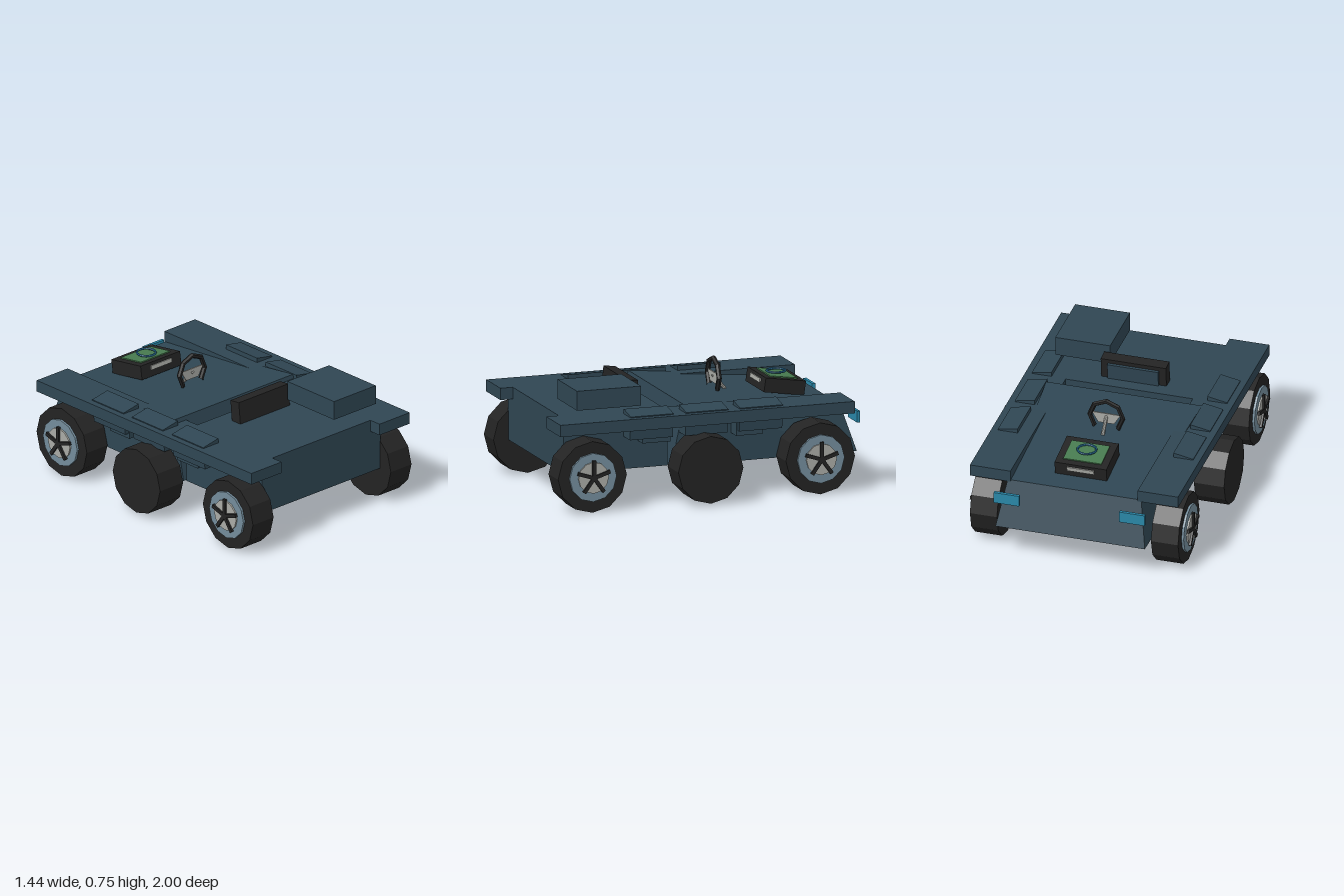
import * as THREE from 'three';
import { ConvexGeometry } from 'three/addons/geometries/ConvexGeometry.js';

function mat(name, color) {
  const m = new THREE.MeshStandardMaterial({ color });
  m.name = name;
  m.flatShading = true;
  return m;
}

export function createModel() {
  const root = new THREE.Group();
  root.name = 'sixWheeledRover';
  const body = mat('slateBlueBody', 0x2f4653);
  const black = mat('blackRubber', 0x232323);
  const rimBlue = mat('greyBlueRim', 0x738c9b);
  const silver = mat('silver', 0xa9aaa5);
  const cyan = mat('cyanLamp', 0x2a87a8);
  const green = mat('greenScreen', 0x477a4f);
  const ringBlue = mat('dialBlue', 0x27709a);

  const add = (name, geo, material, parent = root) => {
    const m = new THREE.Mesh(geo, material);
    m.name = name;
    parent.add(m);
    return m;
  };
  // Box given by its limits on each axis
  const box = (name, material, x0, x1, y0, y1, z0, z1, parent = root) => {
    const m = add(name, new THREE.BoxGeometry(x1 - x0, y1 - y0, z1 - z0), material, parent);
    m.position.set((x0 + x1) / 2, (y0 + y1) / 2, (z0 + z1) / 2);
    return m;
  };
  const solid = (name, material, pts) =>
    add(name, new ConvexGeometry(pts.map(p => new THREE.Vector3(...p))), material);

  // Rear hull: sloped ends, top tilting down to the back
  const hull = [];
  for (const s of [-1, 1]) {
    hull.push([s * 0.47, 0.21, -0.98], [s * 0.49, 0.21, 0.215],
      [s * 0.42, 0.495, -0.89], [s * 0.49, 0.587, 0.135]);
  }
  solid('rearHull', body, hull);

  // Front hull
  box('frontHull', body, -0.49, 0.49, 0.22, 0.5, 0.24, 0.905);

  // Deck slab, open over the rear hull and notched at the front
  const outline = [[0.655, -0.9], [0.655, 0.985], [0.405, 0.985], [0.405, 0.905],
    [-0.405, 0.905], [-0.405, 0.985], [-0.655, 0.985], [-0.655, -0.9],
    [-0.4, -0.9], [-0.4, 0.24], [0.4, 0.24], [0.4, -0.9]];
  const deckShape = new THREE.Shape(outline.map(([x, z]) => new THREE.Vector2(x, -z)));
  const deckGeo = new THREE.ExtrudeGeometry(deckShape, { depth: 0.073, bevelEnabled: false });
  deckGeo.rotateX(-Math.PI / 2);
  add('deck', deckGeo, body).position.y = 0.488;

  // Sloped side lockers through the deck, and brackets beneath
  for (const s of [-1, 1]) {
    for (const [z0, z1] of [[-0.455, -0.18], [-0.105, 0.165], [0.245, 0.52]]) {
      const pts = [];
      for (const z of [z0, z1]) {
        pts.push([s * 0.49, 0.42, z], [s * 0.6, 0.42, z], [s * 0.49, 0.59, z], [s * 0.615, 0.567, z]);
      }
      solid('sideLocker', body, pts);
    }
    const [a, b] = s < 0 ? [-0.575, -0.45] : [0.45, 0.575];
    box('bracket', body, a, b, 0.388, 0.49, 0.25, 0.43);
    box('bracket', body, a, b, 0.388, 0.49, -0.34, -0.17);
    box('rearLamp', cyan, s < 0 ? -0.475 : 0.315, s < 0 ? -0.315 : 0.475, 0.385, 0.455, -1, -0.98);
  }

  // Wheels; end wheels carry rims with five spokes
  const wheel = (side, z, y, r, xIn, xOut, rim) => {
    const g = new THREE.Group();
    g.name = rim ? 'wheel' : 'middleWheel';
    g.position.set(side * (xIn + xOut) / 2, y, z);
    if (side < 0) g.rotation.y = Math.PI;
    root.add(g);
    const disc = (name, radius, x0, x1, material) => {
      const geo = new THREE.CylinderGeometry(radius, radius, x1 - x0, 12);
      geo.rotateZ(-Math.PI / 2);
      add(name, geo, material, g).position.x = (x0 + x1) / 2;
    };
    const h = (xOut - xIn) / 2;
    disc('tire', r, -h, h, black);
    if (!rim) return;
    disc('rim', 0.15, h, h + 0.014, rimBlue);
    disc('hub', 0.097, h + 0.01, h + 0.024, silver);
    for (let i = 0; i < 5; i++) {
      const geo = new THREE.BoxGeometry(0.016, 0.108, 0.022);
      geo.translate(h + 0.028, 0.054, 0);
      geo.rotateX(i * Math.PI * 2 / 5);
      add('spoke', geo, black, g);
    }
  };
  for (const s of [-1, 1]) {
    wheel(s, 0.78, 0.225, 0.22, 0.485, 0.655, true);
    wheel(s, -0.68, 0.225, 0.221, 0.485, 0.655, true);
    wheel(s, 0.045, 0.225, 0.208, 0.53, 0.72, false);
  }

  // Seat with leaning backrest and pad
  box('seatBase', black, -0.205, 0.205, 0.41, 0.49, 0.16, 0.25);
  const backrest = new THREE.Group();
  backrest.name = 'backrest';
  backrest.position.set(0, 0.55, 0.375);
  backrest.rotation.x = -0.1;
  root.add(backrest);
  box('backrestFrame', black, -0.205, 0.205, 0, 0.145, -0.037, 0.037, backrest);
  box('backrestPad', body, -0.16, 0.16, 0.02, 0.12, -0.055, -0.037, backrest);

  // Storage box above the front deck
  box('storageBox', body, 0.175, 0.52, 0.61, 0.73, 0.42, 0.83);

  // Steering wheel, open at the bottom, on a short column
  const steering = new THREE.Group();
  steering.name = 'steeringWheel';
  steering.position.set(0, 0.637, -0.232);
  root.add(steering);
  const arc = new THREE.TorusGeometry(0.104, 0.016, 6, 6, Math.PI * 1.5);
  arc.rotateZ(-Math.PI / 4);
  add('steeringRim', arc, black, steering);
  const plate = new THREE.Shape([[-0.09, 0.02], [-0.05, -0.045], [0.05, -0.045], [0.09, 0.02]]
    .map(p => new THREE.Vector2(...p)));
  add('steeringPlate', new THREE.ExtrudeGeometry(plate, { depth: 0.008, bevelEnabled: false }), silver, steering)
    .position.z = -0.004;
  const column = add('steeringColumn', new THREE.CylinderGeometry(0.011, 0.011, 0.12, 8), silver, steering);
  column.position.set(0, -0.045, -0.035);
  column.rotation.x = 0.7;

  // Tilted console with screen, dial and silver slots
  const consoleGroup = new THREE.Group();
  consoleGroup.name = 'console';
  consoleGroup.position.set(0, 0.573, -0.633);
  consoleGroup.rotation.x = -0.15;
  root.add(consoleGroup);
  box('consoleCase', black, -0.163, 0.163, -0.05, 0.038, -0.13, 0.13, consoleGroup);
  box('screen', green, -0.12, 0.12, 0.038, 0.045, -0.09, 0.088, consoleGroup);
  for (const s of [-1, 1]) {
    box('slot', silver, -0.085, 0.085, -0.008, 0.018, s * 0.134 - 0.004, s * 0.134 + 0.004, consoleGroup);
  }
  const dialGeo = new THREE.TorusGeometry(0.057, 0.007, 6, 16);
  dialGeo.rotateX(Math.PI / 2);
  add('dial', dialGeo, ringBlue).position.set(0, 0.632, -0.633);

  return root;
}
